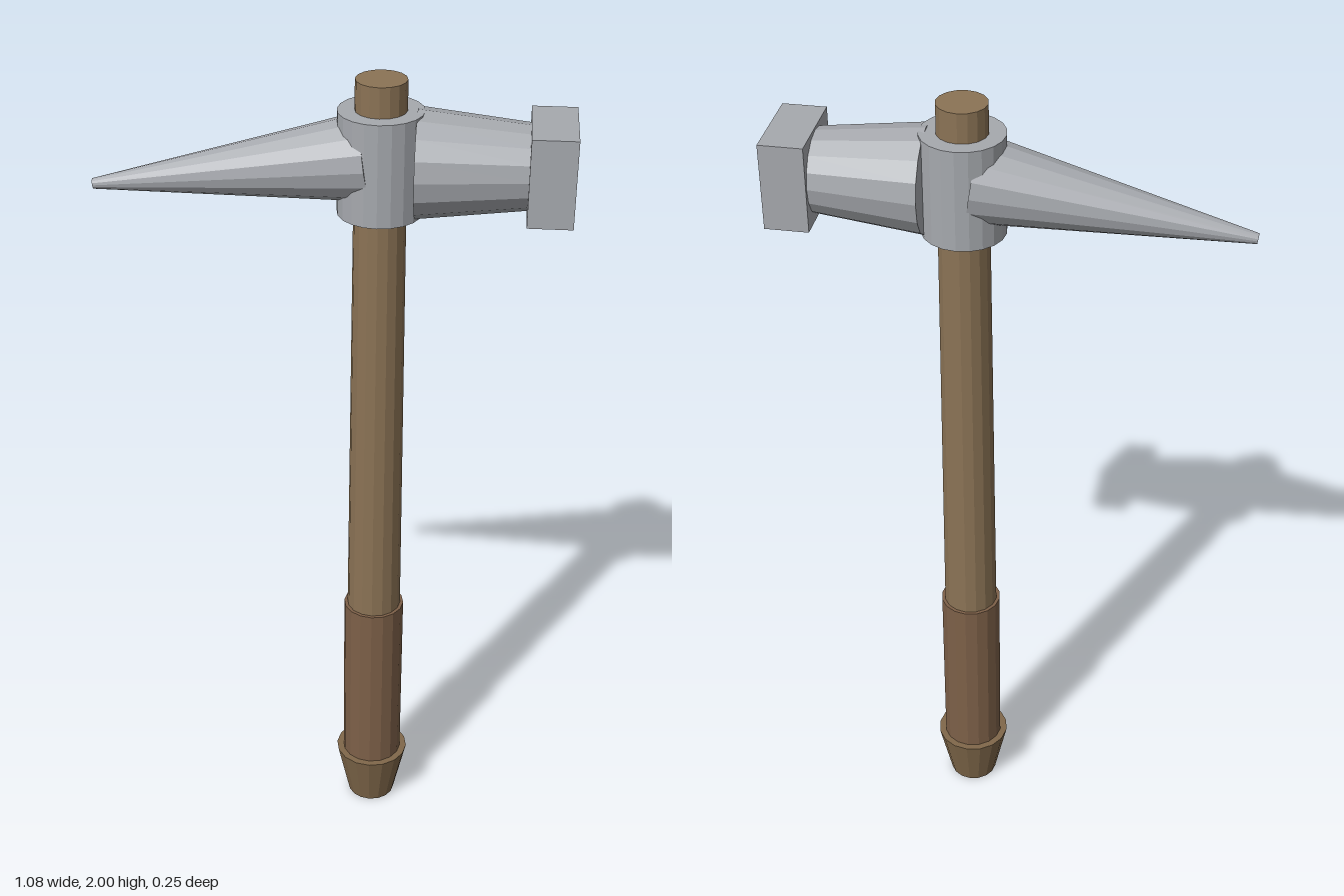
import * as THREE from 'three';

const material = (color) => new THREE.MeshStandardMaterial({ color, flatShading: true });
const UP = new THREE.Vector3(0, 1, 0);

export function createModel() {
  const group = new THREE.Group();
  const wood = material(0x8b7355);
  const gripWood = material(0x7d6048);
  const pommelWood = material(0x80684a);
  const steel = material(0xa6a9ae);

  // Tapered round bar from point a (radius ra) to point b (radius rb)
  function bar(name, a, ra, b, rb, mat, sides = 16) {
    const start = new THREE.Vector3(...a);
    const axis = new THREE.Vector3(...b).sub(start);
    const mesh = new THREE.Mesh(new THREE.CylinderGeometry(rb, ra, axis.length(), sides), mat);
    mesh.position.copy(start).addScaledVector(axis, 0.5);
    mesh.quaternion.setFromUnitVectors(UP, axis.normalize());
    mesh.name = name;
    group.add(mesh);
  }

  // Handle, bottom to top
  const hx = 0.11;
  bar('pommel', [hx, 0, 0], 0.06, [hx, 0.145, 0], 0.092, pommelWood);
  bar('grip', [hx, 0.1, 0], 0.075, [hx, 0.615, 0], 0.075, gripWood);
  bar('shaft', [hx, 0.1, 0], 0.07, [hx, 2, 0], 0.058, wood);

  // Head: collar around the shaft, drooping spike, flared neck
  bar('collar', [hx, 1.69, 0], 0.097, [hx, 1.93, 0], 0.097, steel, 20);
  bar('spike', [0.08, 1.821, 0], 0.1, [-0.54, 1.732, 0], 0.012, steel);
  bar('neck', [0.19, 1.81, 0], 0.124, [0.45, 1.81, 0], 0.095, steel);

  // Square striking face
  const face = new THREE.Mesh(new THREE.BoxGeometry(0.102, 0.204, 0.206), steel);
  face.position.set(0.489, 1.81, 0);
  face.name = 'strikingFace';
  group.add(face);

  return group;
}
